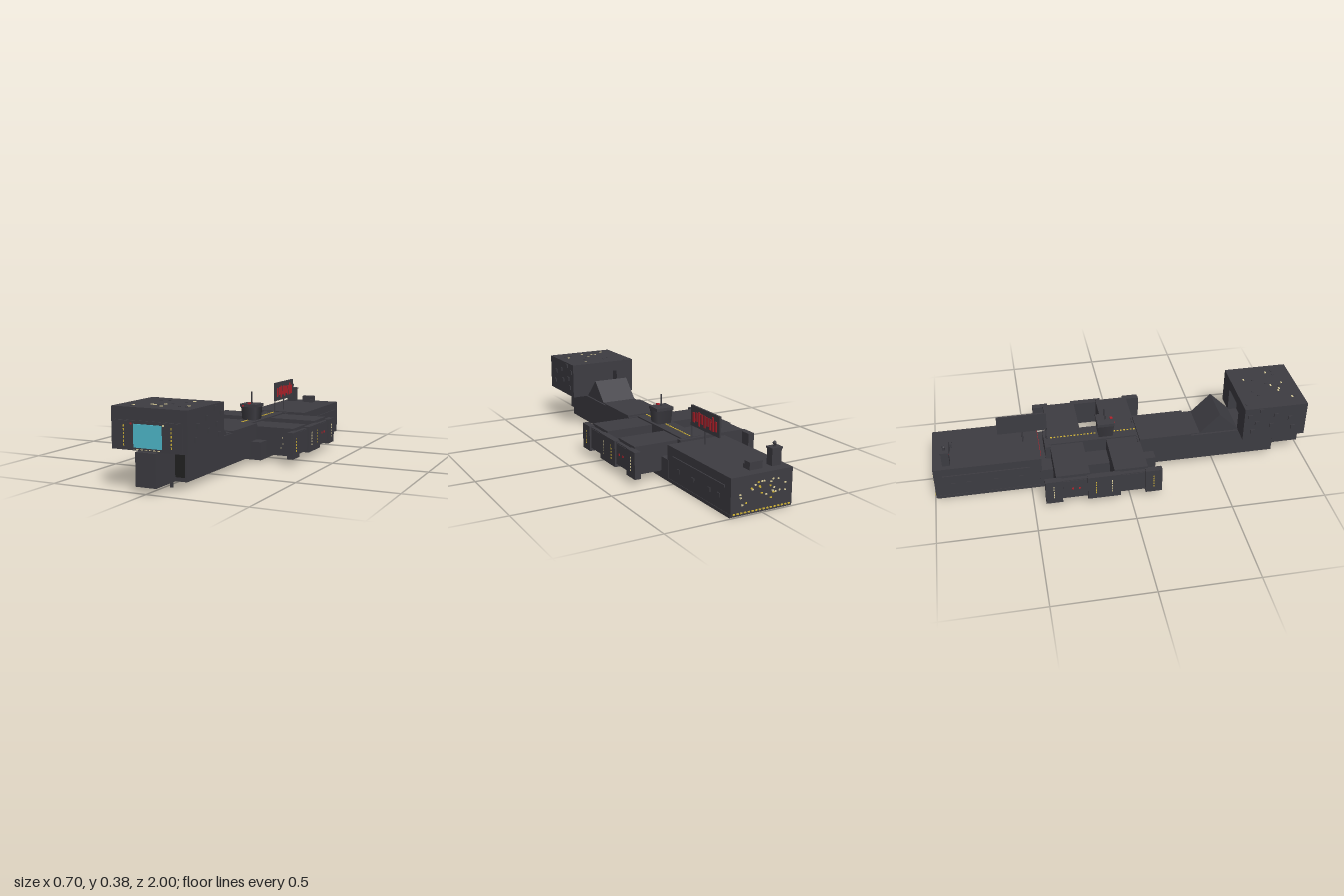
import * as THREE from 'three';

const paint = (name, color) => {
  const m = new THREE.MeshStandardMaterial({ color });
  m.name = name;
  return m;
};

export function createModel() {
  const hull = paint('hull grey', 0x3d3c42);
  const dark = paint('recess black', 0x222222);
  const cyan = paint('window cyan', 0x4fbacc);
  const yellow = paint('light yellow', 0xd2b436);
  const cream = paint('light cream', 0xdccf9c);
  const red = paint('signal red', 0xb3222c);
  const root = new THREE.Group();
  root.name = 'spaceStation';

  const add = (name, geo, mat) => {
    const m = new THREE.Mesh(geo, mat);
    m.name = name;
    root.add(m);
    return m;
  };
  // Box given by its limits on each axis
  const box = (name, x0, x1, y0, y1, z0, z1, mat = hull) => {
    const m = add(name, new THREE.BoxGeometry(x1 - x0, y1 - y0, z1 - z0), mat);
    m.position.set((x0 + x1) / 2, (y0 + y1) / 2, (z0 + z1) / 2);
    return m;
  };
  // The same box on both sides
  const pair = (name, x0, x1, ...rest) => {
    box(name, x0, x1, ...rest);
    box(name, -x1, -x0, ...rest);
  };
  // Small box given by centre and size
  const dot = (name, x, y, z, w, h, d, mat) =>
    box(name, x - w / 2, x + w / 2, y - h / 2, y + h / 2, z - d / 2, z + d / 2, mat);
  const rod = (name, x, y0, y1, z, r) => {
    const m = add(name, new THREE.CylinderGeometry(r, r, y1 - y0, 8), hull);
    m.position.set(x, (y0 + y1) / 2, z);
  };
  let seed = 7;
  const rnd = () => (seed = (seed * 16807) % 2147483647) / 2147483647;

  // Neck and front pillar
  box('neck', -0.11, 0.11, 0.03, 0.185, 0.08, 0.83);
  box('neckDeck', -0.11, 0.11, 0.185, 0.195, 0.09, 0.37);
  box('rampSill', -0.1, 0.1, 0.185, 0.19, 0.37, 0.63);
  box('frontPillar', -0.052, 0.052, 0.03, 0.185, 0.83, 1);
  pair('frontRecess', 0.052, 0.1, 0.05, 0.185, 0.83, 0.835, dark);
  pair('pillarFoot', 0.024, 0.036, 0, 0.03, 0.825, 0.835);

  // Ramp: triangular prism across the neck
  const tri = new THREE.Shape([[-0.63, 0.19], [-0.42, 0.19], [-0.525, 0.295]].map(p => new THREE.Vector2(...p)));
  const ramp = add('ramp', new THREE.ExtrudeGeometry(tri, { depth: 0.2, bevelEnabled: false }), hull);
  ramp.rotation.y = Math.PI / 2;
  ramp.position.x = -0.1;

  // Head with a doorway at the back
  box('headBlock', -0.194, 0.194, 0.185, 0.378, 0.68, 0.97);
  pair('headRearWall', 0.09, 0.194, 0.185, 0.378, 0.63, 0.68);
  box('headLintel', -0.09, 0.09, 0.32, 0.378, 0.63, 0.68);
  box('facePlate', -0.17, 0.17, 0.187, 0.32, 0.97, 0.975);
  pair('faceWing', 0.073, 0.173, 0.19, 0.318, 0.972, 0.98);
  box('frontWindow', -0.073, 0.073, 0.2, 0.305, 0.974, 0.981, cyan);
  dot('redLamp', -0.084, 0.307, 0.981, 0.008, 0.008, 0.006, red);
  dot('creamLamp', 0.082, 0.307, 0.981, 0.008, 0.008, 0.006, cream);
  for (const x of [-0.123, 0.121])
    for (let i = 0; i < 6; i++) dot('faceLight', x, 0.21 + i * 0.017, 0.981, 0.004, 0.01, 0.004, yellow);
  for (let i = 0; i < 8; i++) dot('sillLight', -0.077 + i * 0.022, 0.192, 0.976, 0.012, 0.003, 0.005, cream);
  // Head roof lights, rim studs and side vents
  for (const [x, z] of [[0.08, 0.7], [0.13, 0.84], [0.005, 0.83], [-0.05, 0.855], [-0.03, 0.865], [0.02, 0.895], [-0.115, 0.91]])
    dot('roofLight', x, 0.379, z, 0.014, 0.004, 0.008, cream);
  for (let i = 0; i < 9; i++) dot('roofStud', -0.15 + i * 0.036, 0.379, 0.65 + 0.3 * rnd(), 0.01, 0.004, 0.01, hull);
  for (const s of [-1, 1])
    for (const [y, z] of [[0.36, 0.72], [0.33, 0.66], [0.325, 0.8], [0.285, 0.7], [0.3, 0.88], [0.265, 0.78], [0.235, 0.68], [0.24, 0.9]])
      dot('sideVent', s * 0.197, y, z, 0.007, 0.022, 0.022, hull);

  // Central hull and raised spine
  box('centralHull', -0.168, 0.168, 0.016, 0.11, -0.45, 0.165);
  box('spine', -0.055, 0.055, 0.11, 0.187, -0.39, 0.09);
  box('spineCollar', -0.075, 0.075, 0.11, 0.185, -0.41, -0.38);
  for (let z = -0.37; z < 0.085; z += 0.018)
    if (z < -0.135 || z > -0.03) dot('spineLight', 0, 0.188, z, 0.007, 0.004, 0.009, yellow);
  rod('keelPost', 0, 0, 0.02, -0.22, 0.006);

  // Cross arms with docking rails and end clamps
  for (const z of [-0.295, 0.005]) {
    box('crossArm', -0.316, 0.316, 0.035, 0.18, z - 0.087, z + 0.087);
    pair('dockRail', 0.314, 0.336, 0.05, 0.165, z - 0.145, z + 0.16);
    pair('railPanel', 0.33, 0.339, 0.058, 0.16, z - 0.055, z + 0.065);
    for (const [dz, mat] of [[-0.103, cream], [0.113, yellow]]) {
      pair('clamp', 0.312, 0.346, 0.034, 0.17, z + dz - 0.042, z + dz + 0.044);
      for (let i = 0; i < 5; i++) {
        pair('clampLight', 0.345, 0.348, 0.067 + i * 0.016, 0.076 + i * 0.016, z + dz - 0.002, z + dz + 0.003, mat);
      }
    }
  }
  for (const z of [-0.265, -0.3]) pair('railLamp', 0.338, 0.342, 0.105, 0.115, z - 0.005, z + 0.005, red);
  for (const [x, y] of [[-0.27, 0.1], [-0.225, 0.105], [-0.21, 0.12], [-0.225, 0.08], [0.258, 0.128], [0.26, 0.098], [0.25, 0.075]])
    dot('armLight', x, y, 0.093, 0.005, 0.004, 0.004, cream);

  // Control tower: flared body, cap and mast
  const body = add('towerBody', new THREE.CylinderGeometry(0.062, 0.054, 0.075, 4, 1, false, Math.PI / 4), hull);
  body.position.set(0, 0.222, -0.08);
  box('towerCap', -0.05, 0.05, 0.258, 0.274, -0.125, -0.035);
  rod('towerMast', 0, 0.274, 0.34, -0.08, 0.004);
  dot('towerLamp', 0, 0.277, -0.045, 0.014, 0.008, 0.014, red);
  dot('towerLamp', -0.03, 0.264, -0.034, 0.01, 0.008, 0.004, red);

  // Rear block and keel plate
  box('rearBlock', -0.166, 0.166, 0.003, 0.185, -0.995, -0.44);
  box('keelPlate', -0.168, 0.168, 0, 0.017, -0.99, -0.3);
  pair('sideLedge', 0.165, 0.172, 0.13, 0.142, -0.95, -0.5);
  for (const z of [-0.55, -0.68, -0.82, -0.9]) pair('sideHatch', 0.165, 0.17, 0.07, 0.09, z - 0.012, z + 0.012);
  // Red signal row facing forward
  for (let i = 0; i < 9; i++) dot('signalBar', -0.1 + i * 0.025, 0.155, -0.439, 0.014, 0.03, 0.005, red);
  // Stern windows
  for (let i = 0; i < 16; i++) dot('sternEdgeLight', -0.15 + i * 0.02, 0.015, -0.997, 0.011, 0.006, 0.006, yellow);
  for (let i = 0; i < 26; i++)
    dot('sternWindow', -0.14 + 0.28 * rnd(), 0.045 + 0.11 * rnd(), -0.997, 0.009, 0.006, 0.006, i % 3 ? cream : yellow);

  // Sign board with red bars on one face
  box('signBoard', -0.005, 0.005, 0.25, 0.355, -0.65, -0.39);
  const lengths = [0.05, 0.045, 0.07, 0.05, 0.06, 0.045, 0.055, 0.07, 0.05];
  lengths.forEach((h, i) => dot('signBar', 0.006, 0.298 + (i % 2 ? 0.006 : 0), -0.42 - i * 0.025, 0.004, h, 0.016, red));
  rod('signPost', 0, 0.185, 0.25, -0.52, 0.004);
  rod('signPost', 0, 0.18, 0.25, -0.395, 0.003);

  // Roof equipment at the stern
  box('ventTower', -0.138, -0.086, 0.185, 0.262, -0.945, -0.905);
  box('ventTowerCap', -0.142, -0.082, 0.262, 0.27, -0.949, -0.901);
  rod('ventMast', -0.112, 0.27, 0.288, -0.925, 0.006);
  const ball = add('ventBeacon', new THREE.SphereGeometry(0.009, 10, 8), hull);
  ball.position.set(-0.112, 0.287, -0.925);
  dot('ventLamp', -0.112, 0.245, -0.904, 0.01, 0.01, 0.004, red);
  box('roofUnit', -0.035, 0.035, 0.185, 0.222, -0.945, -0.905);
  dot('roofUnitPipe', 0.025, 0.195, -0.9, 0.02, 0.02, 0.015, hull);

  return root;
}
